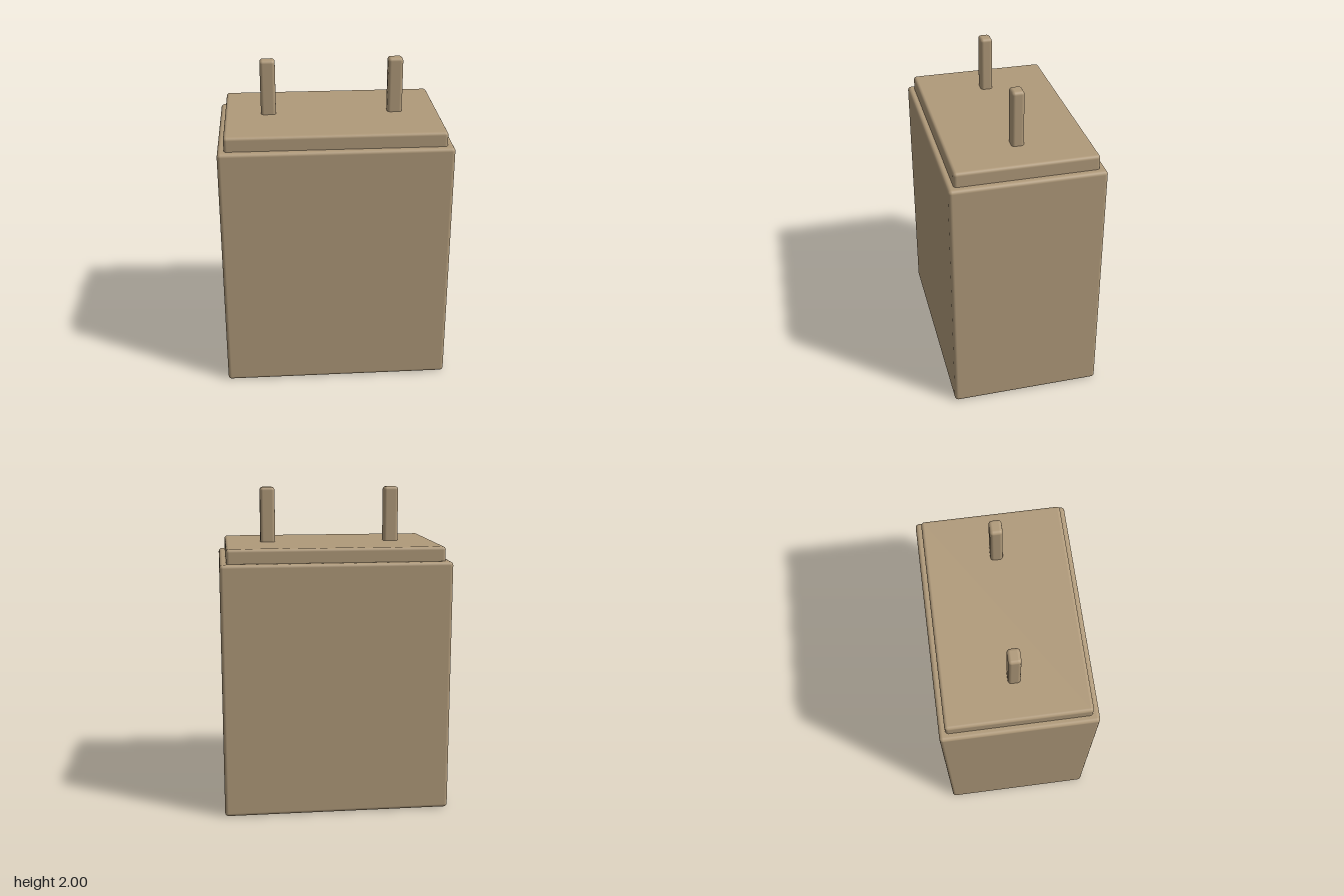
import * as THREE from 'three';
import { RoundedBoxGeometry } from 'three/addons/geometries/RoundedBoxGeometry.js';

export function createModel() {
  const model = new THREE.Group();
  model.name = 'twoPinBlock';

  const tan = new THREE.MeshStandardMaterial({ color: 0xb09a7a });
  tan.name = 'tan';

  // Softly rounded block spanning y0 to y1, centred on z = 0
  function block(name, width, depth, y0, y1, radius, x = 0) {
    const geometry = new RoundedBoxGeometry(width, y1 - y0, depth, 3, radius);
    const mesh = new THREE.Mesh(geometry, tan);
    mesh.name = name;
    mesh.position.set(x, (y0 + y1) / 2, 0);
    model.add(mesh);
  }

  // Main case and the stepped lid
  block('case', 1.406, 0.934, 0, 1.57, 0.022);
  block('lid', 1.326, 0.858, 1.5, 1.658, 0.02);

  // Pair of upright prongs, sunk into the lid
  for (const side of [-1, 1]) {
    block(side > 0 ? 'leftProng' : 'rightProng', 0.093, 0.075, 1.6, 2, 0.02, side * 0.393);
  }

  return model;
}
